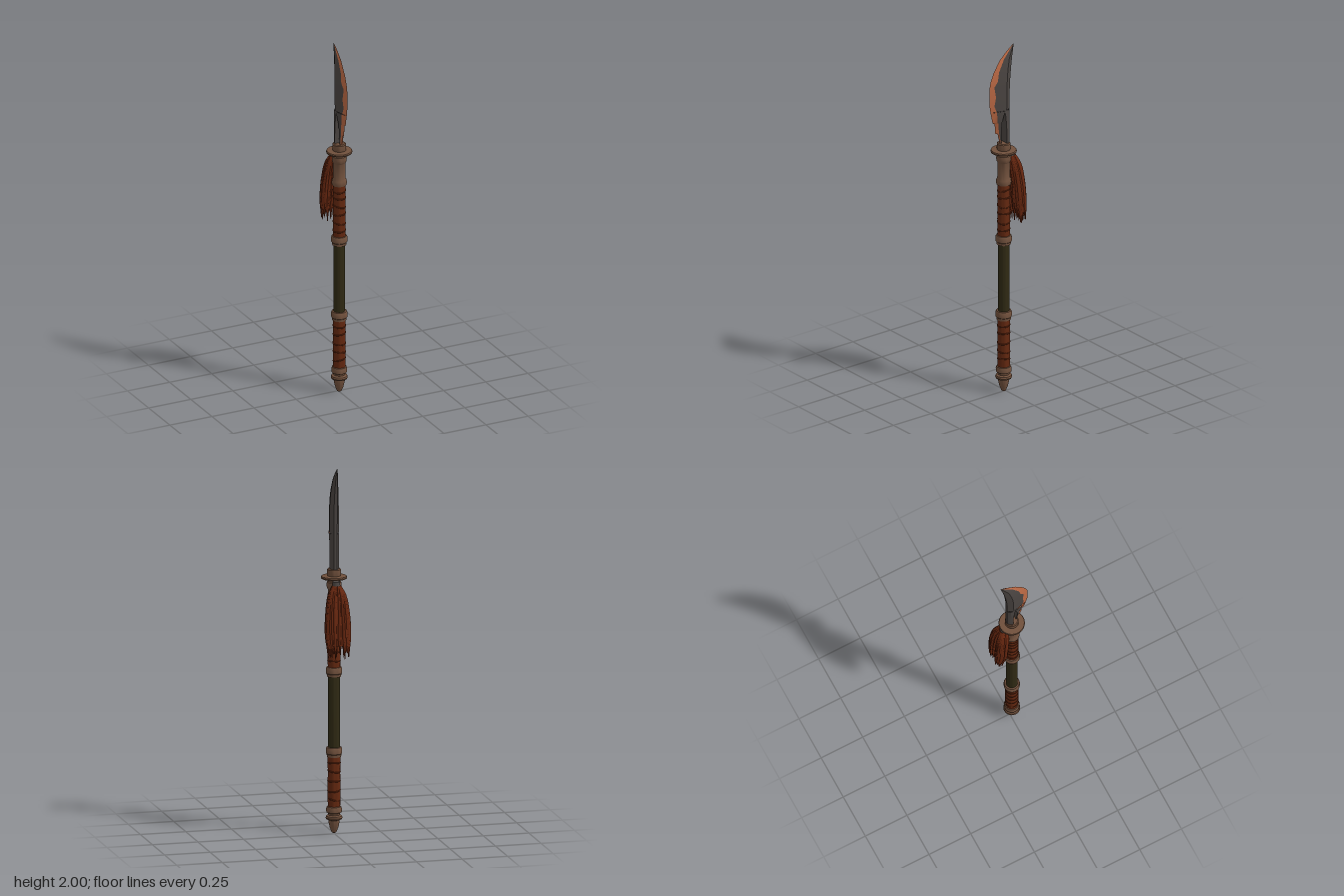
import * as THREE from 'three';
import { toCreasedNormals } from 'three/addons/utils/BufferGeometryUtils.js';

const AXIS = 0.012; // z of the shaft axis

function material(name, color, side = THREE.FrontSide) {
  const m = new THREE.MeshStandardMaterial({ color, side });
  m.name = name;
  return m;
}

// Skin a list of equal-length cross-sections of [x, y, z] points.
function loft(rows, closed) {
  const pos = [], index = [], n = rows[0].length;
  rows.forEach(r => r.forEach(p => pos.push(...p)));
  for (let i = 0; i < rows.length - 1; i++) {
    for (let j = 0; j < (closed ? n : n - 1); j++) {
      const a = i * n + j, b = i * n + (j + 1) % n;
      index.push(a, a + n, b, b, a + n, b + n);
    }
  }
  const g = new THREE.BufferGeometry();
  g.setAttribute('position', new THREE.Float32BufferAttribute(pos, 3));
  g.setIndex(index);
  return toCreasedNormals(g, 0.5);
}

export function createModel() {
  const model = new THREE.Group();
  model.name = 'glaive';
  const bronze = material('bronze', 0x70503c);
  const leather = material('red leather', 0x642810);
  const wood = material('dark olive wood', 0x302a14);
  const steel = material('dark steel', 0x4b4542, THREE.DoubleSide);
  const rust = material('copper edge', 0xbd6a45, THREE.DoubleSide);
  const hair = material('tassel red', 0x6a2810, THREE.DoubleSide);

  let seed = 7;
  const rand = () => (seed = (seed * 16807) % 2147483647) / 2147483647;

  const add = (name, geometry, mat, parent = model) => {
    const mesh = new THREE.Mesh(geometry, mat);
    mesh.name = name;
    parent.add(mesh);
    return mesh;
  };
  const turned = (name, profile, mat) => {
    const g = new THREE.LatheGeometry(profile.map(p => new THREE.Vector2(...p)), 28);
    add(name, toCreasedNormals(g, 0.6), mat).position.z = AXIS;
  };

  // Shaft: pommel, wrapped grips, wooden middle and collars
  turned('pommel', [[0, 0], [0.012, 0.006], [0.022, 0.03], [0.029, 0.06], [0.03, 0.074], [0.042, 0.079],
    [0.045, 0.087], [0.042, 0.096], [0.031, 0.102], [0.033, 0.112], [0.041, 0.117], [0.042, 0.135],
    [0.038, 0.147], [0.031, 0.15]], bronze);
  turned('lowerGrip', [[0.033, 0.145], [0.034, 0.24], [0.033, 0.33], [0.034, 0.43]], leather);
  turned('woodenShaft', [[0.031, 0.46], [0.031, 0.87]], wood);
  turned('upperGrip', [[0.033, 0.89], [0.034, 1.0], [0.033, 1.1], [0.034, 1.22]], leather);
  for (const y of [0.445, 0.882]) {
    turned('collar', [[0.031, y - 0.027], [0.038, y - 0.026], [0.039, y - 0.012], [0.043, y - 0.008],
      [0.043, y + 0.018], [0.039, y + 0.025], [0.031, y + 0.026]], bronze);
  }
  turned('neckSleeve', [[0.031, 1.2], [0.039, 1.203], [0.041, 1.215], [0.039, 1.23], [0.034, 1.24],
    [0.033, 1.33], [0.038, 1.338], [0.04, 1.355], [0.038, 1.37], [0.033, 1.375], [0.033, 1.39]], bronze);
  turned('guard', [[0.03, 1.386], [0.062, 1.387], [0.069, 1.39], [0.07, 1.396], [0.067, 1.402], [0.03, 1.404]], bronze);
  turned('bladeSocket', [[0.034, 1.4], [0.037, 1.41], [0.036, 1.438], [0.031, 1.443], [0, 1.443]], bronze);

  // Tilted leather bands on both grips
  for (const y of [0.19, 0.235, 0.285, 0.34, 0.385, 0.94, 0.985, 1.035, 1.08, 1.13, 1.17]) {
    const band = add('gripBand', new THREE.TorusGeometry(0.0325, 0.0042, 6, 24), leather);
    band.position.set(0, y, AXIS);
    band.rotation.set(Math.PI / 2 + (rand() - 0.5) * 0.4, (rand() - 0.5) * 0.5, 0);
  }

  // Blade body: y, cutting edge z, bevel line z, ridge z, spine z, half thickness
  const body = [
    [1.635, 0.1, 0.068, 0.012, -0.02, 0.026], [1.67, 0.106, 0.08, 0.01, -0.02, 0.026],
    [1.72, 0.108, 0.072, 0.01, -0.021, 0.026], [1.78, 0.106, 0.08, 0.008, -0.023, 0.025],
    [1.81, 0.1, 0.06, 0.006, -0.026, 0.024], [1.86, 0.08, 0.05, 0, -0.031, 0.021],
    [1.925, 0.037, 0.016, -0.014, -0.04, 0.015], [1.965, -0.008, -0.02, -0.034, -0.048, 0.009],
    [2, -0.055, -0.055, -0.055, -0.055, 0]];
  const bevel = (f, b, m, w) => f > m ? w * Math.min(1, 1.2 * (f - b) / (f - m)) : 0;
  add('bladeEdge', loft(body.map(([y, f, b, m, k, w]) => {
    const v = bevel(f, b, m, w);
    return [[v, y, b], [0, y, f], [-v, y, b]];
  })), rust);
  add('bladeBody', loft(body.map(([y, f, b, m, k, w]) => {
    const v = bevel(f, b, m, w);
    return [[v, y, b], [w, y, m], [w * 0.35, y, k], [-w * 0.35, y, k], [-w, y, m], [-v, y, b]];
  })), steel);

  // Broken front prong: y, edge z, bevel line z, inner z, half thickness
  const prong = [
    [1.445, 0.038, 0.036, 0.033, 0.01], [1.5, 0.053, 0.046, 0.036, 0.013], [1.505, 0.068, 0.05, 0.037, 0.014],
    [1.565, 0.073, 0.055, 0.037, 0.017], [1.57, 0.086, 0.06, 0.036, 0.018], [1.635, 0.1, 0.068, 0.02, 0.025]];
  add('frontProngEdge', loft(prong.map(([y, f, b, g, w]) =>
    [[w * 0.6, y, b], [0, y, f], [-w * 0.6, y, b]])), rust);
  add('frontProngBack', loft(prong.map(([y, f, b, g, w]) =>
    [[w * 0.6, y, b], [w, y, g], [-w, y, g], [-w * 0.6, y, b]])), steel);

  // Rear prong joining the blade to its socket: y, front z
  add('rearProng', loft([[1.43, 0.008], [1.5, 0.008], [1.6, 0.016], [1.635, 0.024]].map(([y, z]) =>
    [[0.025, y, z], [0.022, y, -0.005], [0.009, y, -0.02], [-0.009, y, -0.02], [-0.022, y, -0.005], [-0.025, y, z]]),
  true), steel);

  // Tassel hung behind the neck: y, centre z, half width, half depth
  const tassel = new THREE.Group();
  tassel.name = 'tassel';
  model.add(tassel);
  const flow = [[1.358, -0.04, 0.018, 0.014], [1.31, -0.05, 0.043, 0.027], [1.21, -0.062, 0.059, 0.029],
    [1.11, -0.069, 0.063, 0.028], [1.04, -0.077, 0.058, 0.023]];
  const around = ([y, z, a, b], t) => {
    const c = Math.cos(t), s = Math.sin(t);
    return [a * Math.sign(c) * Math.abs(c) ** 0.65, y, z + b * Math.sign(s) * Math.abs(s) ** 0.65];
  };
  const ring = [...Array(32).keys()].map(i => i / 32 * Math.PI * 2);
  add('tasselCore', loft(flow.map(f => ring.map(t => around(f, t))), true), hair, tassel);
  const strands = 34;
  for (let i = 0; i < strands; i++) {
    const t = (i + rand() * 0.5) / strands * Math.PI * 2;
    const points = flow.map(f => {
      const p = around(f, t + (rand() - 0.5) * 0.12);
      return new THREE.Vector3(...p);
    });
    const last = points[points.length - 1];
    points.push(new THREE.Vector3(last.x * 0.97, 0.97 + rand() * 0.055, last.z - 0.003));
    const curve = new THREE.CatmullRomCurve3(points);
    const g = new THREE.TubeGeometry(curve, 14, 0.0085, 6);
    // Taper each strand towards its end
    const pos = g.attributes.position, centre = new THREE.Vector3(), v = new THREE.Vector3();
    for (let k = 0; k < pos.count; k++) {
      const u = Math.floor(k / 7) / 14;
      curve.getPointAt(u, centre);
      v.fromBufferAttribute(pos, k).sub(centre).multiplyScalar(u > 0.8 ? 1 - (u - 0.8) * 4 : 0.75 + u * 0.3).add(centre);
      pos.setXYZ(k, v.x, v.y, v.z);
    }
    add('tasselStrand', g, hair, tassel);
  }
  const tie = add('tasselTie', new THREE.CylinderGeometry(0.019, 0.023, 0.035, 16), steel, tassel);
  tie.position.set(0, 1.363, -0.034);

  return model;
}
